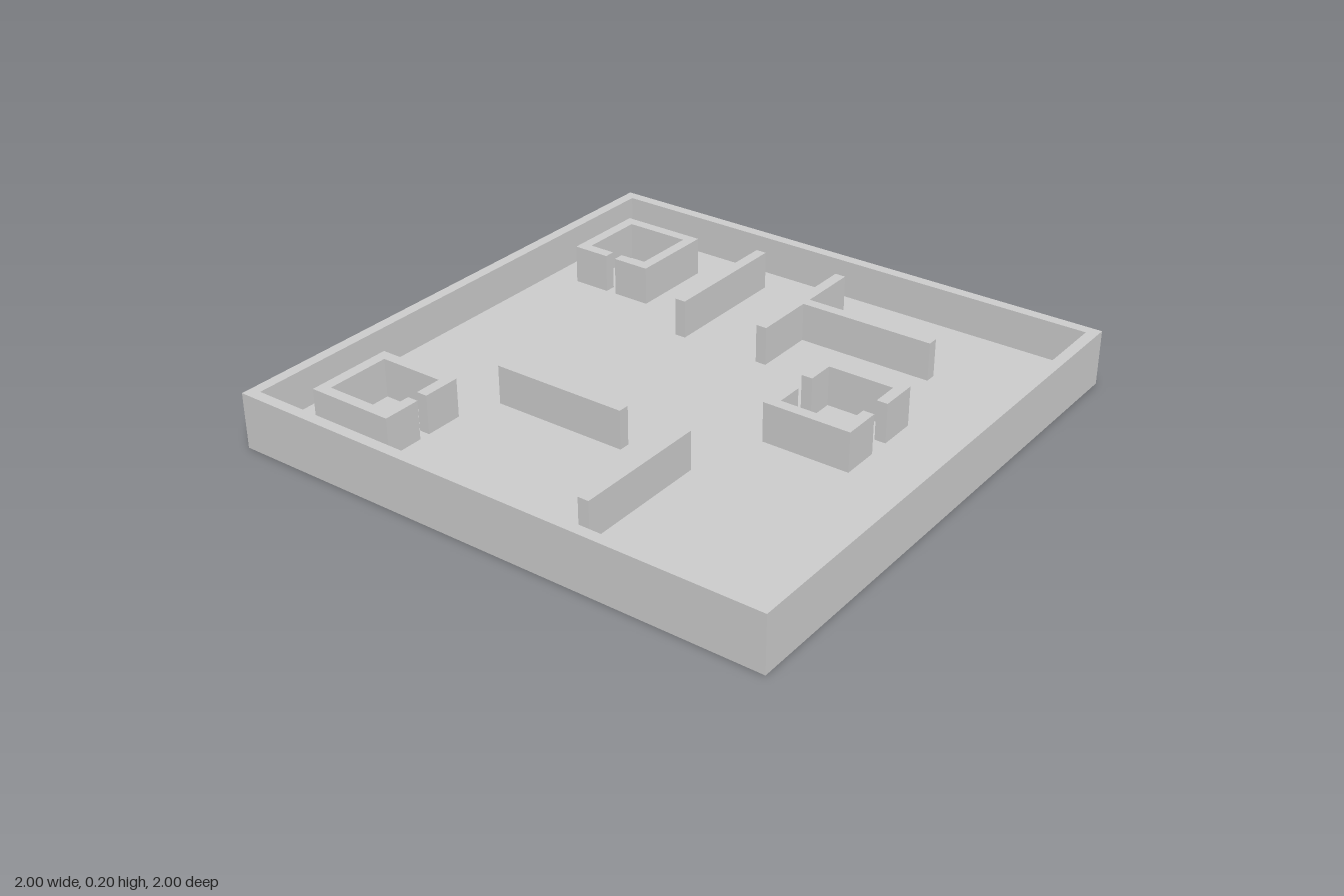
import * as THREE from 'three';

const material = new THREE.MeshStandardMaterial({ color: 0xcccccc, flatShading: true });
const H = 0.2; // wall height
const T = 0.04; // wall thickness

// Box from its plan limits and heights
function slab(name, x0, x1, z0, z1, y0 = 0, y1 = H) {
  const mesh = new THREE.Mesh(new THREE.BoxGeometry(x1 - x0, y1 - y0, z1 - z0), material);
  mesh.position.set((x0 + x1) / 2, (y0 + y1) / 2, (z0 + z1) / 2);
  mesh.name = name;
  return mesh;
}

// Plan outline of [x, z] points raised into a wall; a hole runs the opposite way round
function raise(name, points, hole) {
  const toPlan = (list) => list.map(([x, z]) => new THREE.Vector2(x, -z));
  const shape = new THREE.Shape(toPlan(points));
  if (hole) shape.holes.push(new THREE.Path(toPlan(hole).reverse()));
  const geometry = new THREE.ExtrudeGeometry(shape, { depth: H, bevelEnabled: false });
  geometry.rotateX(-Math.PI / 2);
  const mesh = new THREE.Mesh(geometry, material);
  mesh.name = name;
  return mesh;
}

const square = (r) => [[-r, -r], [r, -r], [r, r], [-r, r]];

// Square room with a narrow doorway (g0 to g1) in its +z side, centred on the origin
function smallRoom(name, x, z, turn, g0, g1) {
  const a = 0.16, b = a - T;
  const room = raise(name, [
    [g0, a], [-a, a], [-a, -a], [a, -a], [a, a], [g1, a],
    [g1, b], [b, b], [b, -b], [-b, -b], [-b, b], [g0, b],
  ]);
  room.rotation.y = turn;
  room.position.set(x, 0, z);
  return room;
}

export function createModel() {
  const model = new THREE.Group();
  model.name = 'walledFloorPlan';

  // Floor sits a little above the bottom of the walls
  model.add(slab('floor', -0.97, 0.97, -0.97, 0.97, 0.02, 0.06));
  model.add(raise('outerWall', square(1), square(1 - T)));

  // Free-standing straight walls
  model.add(
    slab('backLeftWall', -0.3, -0.26, -0.85, -0.352),
    slab('frontCrossWall', -0.47, 0.03, 0.343, 0.383),
    slab('frontLengthWall', 0.24, 0.28, 0.35, 0.848),
  );

  // T-shaped wall
  model.add(raise('teeWall', [
    [0.04, -0.85], [0.08, -0.85], [0.08, -0.62], [0.58, -0.62],
    [0.58, -0.58], [0.08, -0.58], [0.08, -0.352], [0.04, -0.352],
  ]));

  // Rooms with one doorway
  model.add(smallRoom('backRoom', -0.69, -0.643, 0, -0.02, 0.02));
  model.add(smallRoom('frontRoom', -0.68, 0.688, Math.PI / 2, -0.02, 0.02));

  // Room split by two facing doorways, made of two U-shaped halves
  const splitRoom = new THREE.Group();
  splitRoom.name = 'splitRoom';
  for (const turn of [0, Math.PI]) {
    const half = raise('splitRoomHalf', [
      [-0.16, 0.04], [-0.16, 0.18], [0.16, 0.18], [0.16, 0.04],
      [0.12, 0.04], [0.12, 0.14], [-0.12, 0.14], [-0.12, 0.04],
    ]);
    half.rotation.y = turn;
    splitRoom.add(half);
  }
  splitRoom.position.set(0.52, 0.003, -0.102);
  model.add(splitRoom);

  return model;
}
